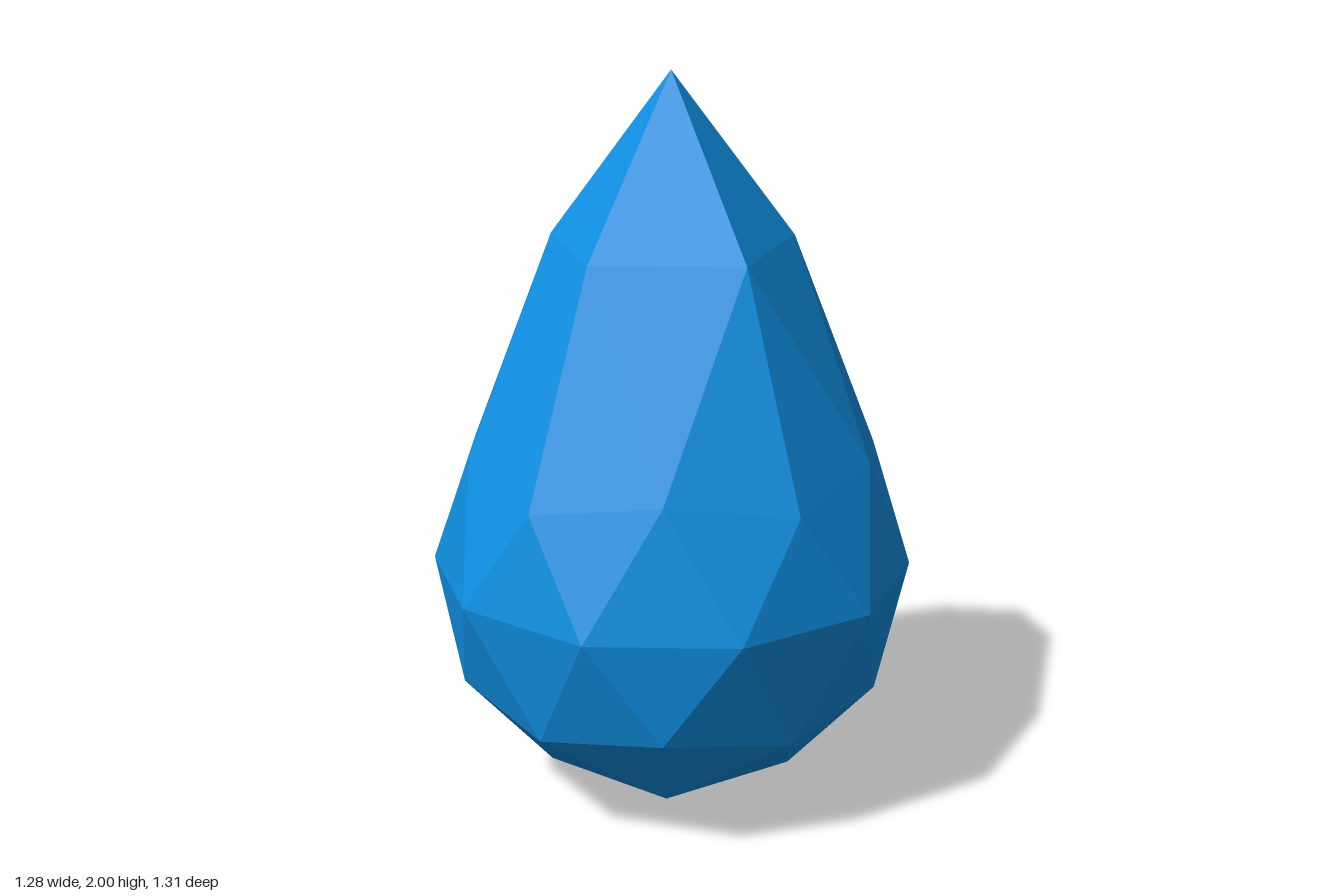
import * as THREE from 'three';

const R = 0.655;

export function createModel() {
  const model = new THREE.Group();
  const blue = new THREE.MeshStandardMaterial({ color: 0x1090e4 });
  blue.name = 'waterBlue';
  blue.flatShading = true;

  // Once-divided icosahedron, turned so one corner points straight up
  const geometry = new THREE.IcosahedronGeometry(R, 1);
  geometry.rotateZ(Math.atan(2 / (1 + Math.sqrt(5))));
  geometry.rotateY(THREE.MathUtils.degToRad(31));
  geometry.translate(0, R, 0);

  // Pull the top corner and the ring below it up into a point
  const p = geometry.attributes.position;
  for (let i = 0; i < p.count; i++) {
    const y = p.getY(i);
    if (y > R * 1.95) p.setXYZ(i, 0.012, 2, -0.032);
    else if (y > R * 1.7) p.setY(i, 1.55);
  }
  geometry.computeVertexNormals();

  const drop = new THREE.Mesh(geometry, blue);
  drop.name = 'droplet';
  model.add(drop);
  return model;
}
